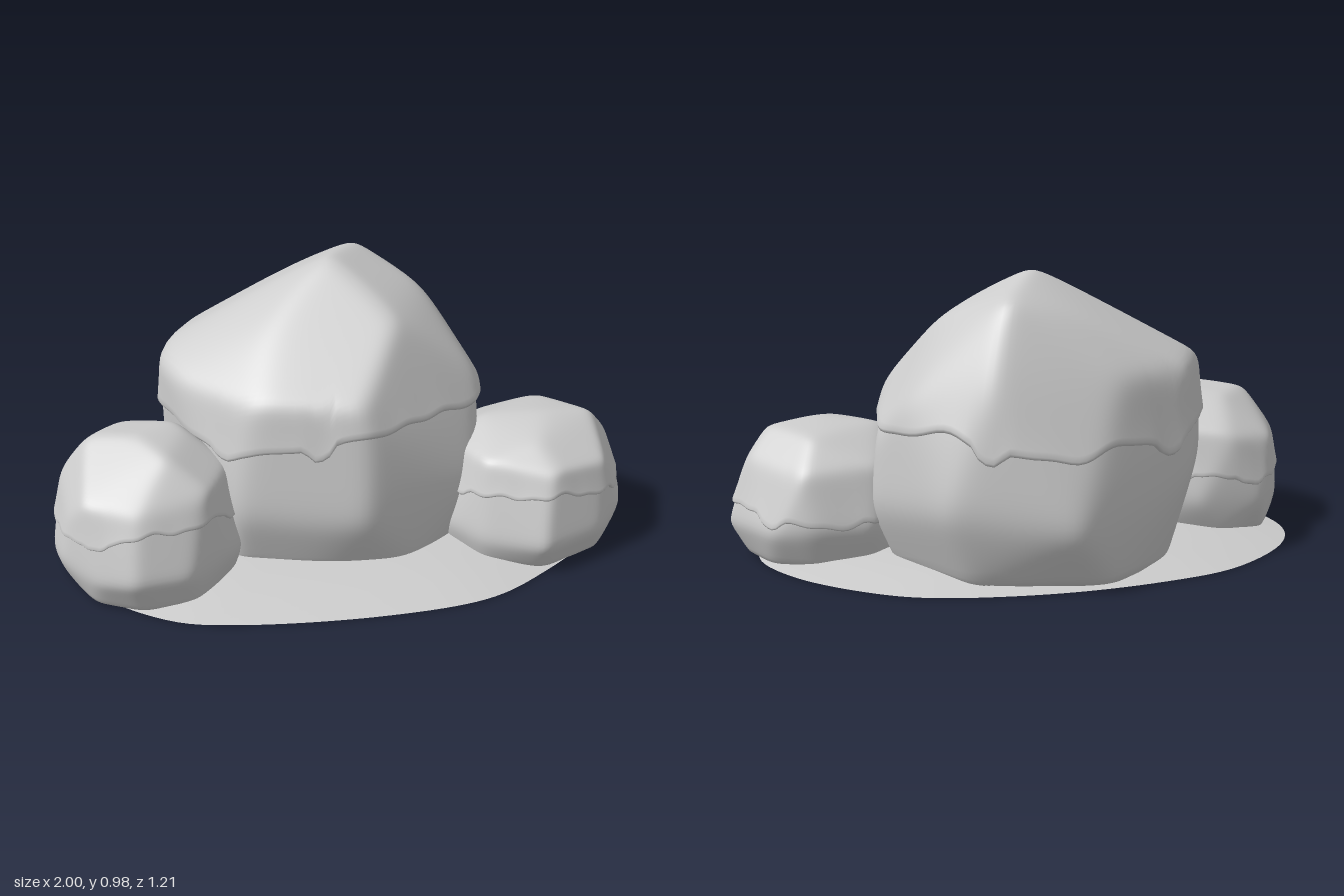
import * as THREE from 'three';
import { ConvexGeometry } from 'three/addons/geometries/ConvexGeometry.js';
import { toCreasedNormals } from 'three/addons/utils/BufferGeometryUtils.js';

const SEG = 128;
const rad = THREE.MathUtils.degToRad;

// Surface of rows of SEG points running down from a top point, closed below if a bottom point is given
function loftRows(top, rows, bottom) {
  const pos = [...top.toArray()], idx = [];
  for (const row of rows) for (const p of row) pos.push(p.x, p.y, p.z);
  const at = (i, j) => 1 + i * SEG + (j % SEG);
  for (let j = 0; j < SEG; j++) {
    idx.push(0, at(0, j), at(0, j + 1));
    for (let i = 0; i < rows.length - 1; i++) {
      idx.push(at(i, j), at(i + 1, j), at(i, j + 1));
      idx.push(at(i, j + 1), at(i + 1, j), at(i + 1, j + 1));
    }
  }
  if (bottom) {
    const last = pos.length / 3, r = rows.length - 1;
    pos.push(bottom.x, bottom.y, bottom.z);
    for (let j = 0; j < SEG; j++) idx.push(at(r, j), last, at(r, j + 1));
  }
  const g = new THREE.BufferGeometry();
  g.setAttribute('position', new THREE.Float32BufferAttribute(pos, 3));
  g.setIndex(idx);
  return g;
}

// Radius in any direction of a faceted hull with softened edges
function softHull(points, c) {
  const pts = points.map(p => new THREE.Vector3(...p).sub(c));
  const a = new ConvexGeometry(pts).attributes.position;
  const planes = [];
  for (let i = 0; i < a.count; i += 3) {
    const [p, q, s] = [0, 1, 2].map(k => new THREE.Vector3().fromBufferAttribute(a, i + k));
    const n = q.clone().sub(p).cross(s.sub(p));
    if (n.length() < 1e-7) continue;
    n.normalize();
    const d = n.dot(p);
    if (d > 0.01 && !planes.some(o => o.n.dot(n) > 0.992)) planes.push({ n, d });
  }
  return dir => {
    let sum = 0;
    for (const { n, d } of planes) sum += Math.max(0, n.dot(dir) / d) ** 42;
    return sum ** (-1 / 42);
  };
}

// Periodic smooth interpolation of equally spaced heights
function loopValue(list, theta) {
  const n = list.length, u = ((theta / (2 * Math.PI)) * n + n) % n;
  const i = Math.floor(u), f = u - i, s = f * f * (3 - 2 * f);
  return list[i % n] * (1 - s) + list[(i + 1) % n] * s;
}

// A boulder with a draped cap; rim heights run from the front round by the left side
function boulder(name, { centre, points, rim, drips, min, max, lip }, material) {
  const c = new THREE.Vector3(...centre), radius = softHull(points, c);
  const surface = (theta, phi, offset = 0) => {
    const s = Math.sin(phi);
    const d = new THREE.Vector3(s * Math.sin(theta), Math.cos(phi), s * Math.cos(theta));
    return d.multiplyScalar(radius(d) + offset).add(c);
  };
  const thetas = Array.from({ length: SEG }, (_, j) => (j / SEG) * 2 * Math.PI);
  const rowCount = 64;
  const stoneRows = Array.from({ length: rowCount - 1 }, (_, i) =>
    thetas.map(t => surface(t, ((i + 1) / rowCount) * Math.PI)));
  const stone = loftRows(surface(0, 0), stoneRows, surface(0, Math.PI));

  // Rim polar angle at each heading, with hanging drips and a slight ripple
  const rimPhi = thetas.map(t => {
    let y = loopValue(rim, t) + 0.005 * Math.sin(9 * t + 1) + 0.004 * Math.sin(17 * t);
    for (const [deg, depth, width] of drips) {
      const diff = Math.atan2(Math.sin(t - rad(deg)), Math.cos(t - rad(deg)));
      y -= depth * Math.exp(-((diff / rad(width)) ** 4));
    }
    let lo = 0.3, hi = 2.6;
    for (let k = 0; k < 24; k++) {
      const mid = (lo + hi) / 2;
      if (surface(t, mid).y > y) lo = mid; else hi = mid;
    }
    return lo;
  });
  const capRows = [];
  for (let i = 1; i <= 40; i++) {
    const u = i / 40;
    capRows.push(thetas.map((t, j) => surface(t, rimPhi[j] * u, lip * (0.5 + 0.5 * u ** 8))));
  }
  capRows.push(thetas.map((t, j) => surface(t, rimPhi[j] + 0.02, lip * 0.6)));
  capRows.push(thetas.map((t, j) => surface(t, rimPhi[j] + 0.01, -0.01)));
  const cap = loftRows(surface(0, 0, lip * 0.5), capRows);

  // Undo the slight shrinkage caused by softening the edges
  const box = new THREE.Box3();
  for (const g of [stone, cap]) { g.computeBoundingBox(); box.union(g.boundingBox); }
  const lo = new THREE.Vector3(...min), size = new THREE.Vector3(...max).sub(lo);
  size.divide(box.getSize(new THREE.Vector3()));
  const group = new THREE.Group();
  group.name = name;
  for (const [part, g] of [['Stone', stone], ['Cap', cap]]) {
    g.translate(-box.min.x, -box.min.y, -box.min.z);
    g.scale(size.x, size.y, size.z);
    g.translate(lo.x, lo.y, lo.z);
    g.computeVertexNormals();
    const mesh = new THREE.Mesh(g, material);
    mesh.name = name + part;
    group.add(mesh);
  }
  return group;
}

const largeBoulder = {
  centre: [-0.03, 0.42, -0.1], min: [-0.615, 0, -0.608], max: [0.54, 0.98, 0.41], lip: 0.018,
  points: [
    [-0.02, 1.0, -0.1], [0.13, 0.93, -0.39], [-0.08, 0.88, -0.36], [0.31, 0.85, -0.16], [0.17, 0.845, 0.14],
    [-0.26, 0.82, 0.07], [0.03, 0.6, 0.38], [-0.34, 0.63, 0.27], [-0.61, 0.67, -0.1], [-0.58, 0.64, 0.01],
    [-0.47, 0.68, -0.37], [-0.2, 0.68, -0.5], [0.2, 0.67, -0.51], [0.45, 0.6, -0.31], [0.46, 0.6, 0.08],
    [-0.62, 0.43, -0.13], [0.54, 0.42, -0.18], [0.03, 0.23, 0.42], [0.44, 0.24, 0.23], [-0.41, 0.24, 0.3],
    [-0.05, 0.21, -0.64], [-0.47, 0.27, -0.42], [0.36, 0.27, -0.51], [0.55, 0.2, -0.15],
    [-0.55, 0.01, -0.06], [-0.4, 0, 0.22], [-0.1, 0, 0.31], [0.2, 0, 0.32], [0.38, 0, 0.18],
    [0.47, 0, -0.15], [0.26, 0, -0.46], [-0.2, 0, -0.53], [-0.42, 0, -0.35],
  ],
  rim: [0.54, 0.55, 0.53, 0.52, 0.51, 0.5, 0.53, 0.47, 0.45, 0.48, 0.46, 0.49, 0.5, 0.48, 0.46, 0.5],
  drips: [[-12, 0.045, 5], [150, 0.04, 5], [-50, 0.015, 5], [-133, 0.03, 6]],
};

const rightBoulder = {
  centre: [-0.7, 0.24, 0.18], min: [-1, 0, -0.13], max: [-0.38, 0.52, 0.5], lip: 0.012,
  points: [
    [-0.87, 0.5, 0.14], [-0.7, 0.53, 0.2], [-0.58, 0.52, 0.1], [-0.62, 0.5, 0.31], [-0.75, 0.5, 0.03],
    [-0.96, 0.36, 0.1], [-0.89, 0.37, 0.36], [-0.72, 0.36, 0.44], [-0.5, 0.4, 0.38], [-0.41, 0.4, 0.2],
    [-0.52, 0.4, -0.03], [-0.74, 0.37, -0.11], [-0.9, 0.36, -0.05],
    [-1.01, 0.1, 0.12], [-0.98, 0.12, 0.29], [-0.87, 0.12, 0.44], [-0.75, 0.14, 0.51], [-0.56, 0.13, 0.48],
    [-0.42, 0.12, 0.36], [-0.37, 0.1, 0.26], [-0.42, 0.12, 0.03], [-0.62, 0.14, -0.12], [-0.86, 0.13, -0.11],
    [-0.98, 0, 0.14], [-0.88, 0, 0.37], [-0.72, 0, 0.45], [-0.53, 0, 0.42], [-0.41, 0, 0.28],
    [-0.45, 0, 0.05], [-0.72, 0, -0.09], [-0.89, 0, -0.03],
  ],
  rim: [0.3, 0.3, 0.26, 0.24, 0.24, 0.22, 0.23, 0.25],
  drips: [[70, 0.03, 9], [-35, 0.02, 8], [200, 0.03, 9], [150, 0.025, 8]],
};

const leftBoulder = {
  centre: [0.67, 0.22, 0.15], min: [0.33, 0, -0.18], max: [1, 0.46, 0.48], lip: 0.012,
  points: [
    [0.7, 0.47, 0.15], [0.86, 0.45, 0.13], [0.5, 0.45, 0.1], [0.64, 0.44, 0.3], [0.72, 0.44, -0.04],
    [0.94, 0.35, 0.08], [0.86, 0.35, 0.33], [0.66, 0.36, 0.42], [0.46, 0.38, 0.32], [0.39, 0.37, 0.12],
    [0.53, 0.35, -0.13], [0.77, 0.33, -0.15],
    [1.01, 0.11, 0.1], [0.97, 0.1, 0.23], [0.85, 0.11, 0.39], [0.62, 0.11, 0.49], [0.44, 0.1, 0.38],
    [0.35, 0.1, 0.24], [0.34, 0.1, 0.05], [0.54, 0.14, -0.18], [0.75, 0.14, -0.19], [0.87, 0.12, -0.14],
    [0.96, 0.12, -0.01],
    [0.95, 0, 0.1], [0.86, 0, 0.33], [0.64, 0, 0.43], [0.45, 0, 0.35], [0.36, 0, 0.18],
    [0.38, 0, 0.02], [0.56, 0, -0.13], [0.76, 0, -0.13], [0.89, 0, -0.05],
  ],
  rim: [0.29, 0.25, 0.21, 0.19, 0.16, 0.21, 0.25, 0.27],
  drips: [[140, 0.025, 9], [205, 0.02, 8], [-70, 0.02, 8], [60, 0.01, 6]],
};

// Shallow mound with an uneven oval outline and a flat underside
function groundMound(material) {
  const outline = new THREE.CatmullRomCurve3([
    [-0.88, 0.3], [-0.64, 0.51], [-0.43, 0.57], [0.04, 0.605], [0.4, 0.57], [0.6, 0.47], [0.86, 0.25],
    [0.91, 0.02], [0.8, -0.2], [0.57, -0.4], [0.4, -0.48], [0.02, -0.53], [-0.36, -0.5], [-0.64, -0.42],
    [-0.9, -0.2], [-0.97, 0],
  ].map(([x, z]) => new THREE.Vector3(x, 0, z)), true);
  const edge = outline.getSpacedPoints(SEG).slice(0, SEG);
  const rows = [[0.35, 0.054], [0.6, 0.046], [0.82, 0.028], [1, 0]].map(([s, y]) =>
    edge.map(p => new THREE.Vector3(p.x * s, y, p.z * s)));
  const g = loftRows(new THREE.Vector3(0, 0.055, 0), rows, new THREE.Vector3());
  const mesh = new THREE.Mesh(toCreasedNormals(g, 0.8), material);
  mesh.name = 'groundMound';
  return mesh;
}

export function createModel() {
  const grey = new THREE.MeshStandardMaterial({ color: 0xcccccc });
  grey.name = 'stone grey';
  const model = new THREE.Group();
  model.name = 'cappedBoulders';
  model.add(
    groundMound(grey),
    boulder('largeBoulder', largeBoulder, grey),
    boulder('rightBoulder', rightBoulder, grey),
    boulder('leftBoulder', leftBoulder, grey),
  );
  return model;
}
